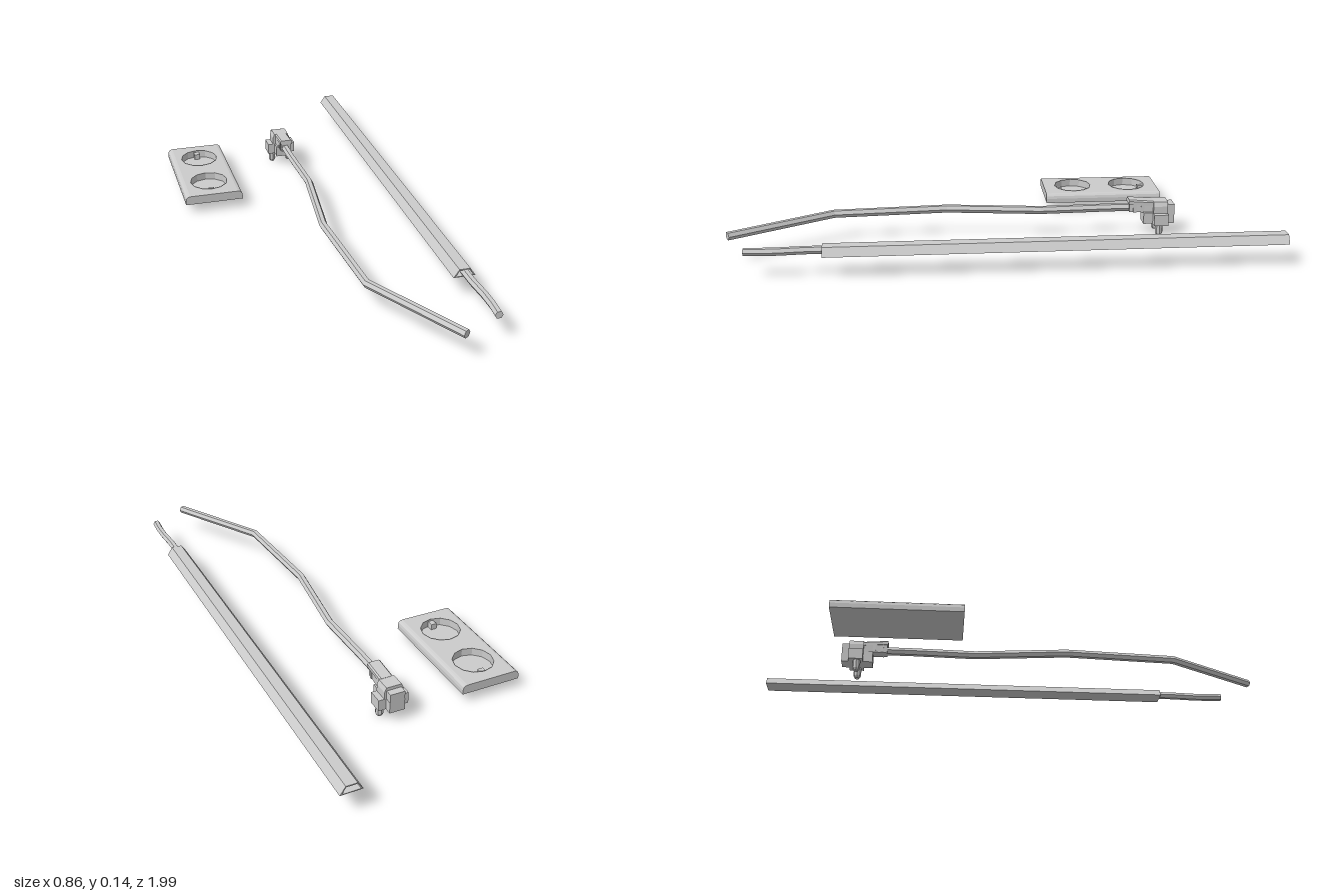
import * as THREE from 'three';

const material = new THREE.MeshStandardMaterial({ color: 0xcccccc, flatShading: true, side: THREE.DoubleSide });

function add(parent, name, geometry, x = 0, y = 0, z = 0) {
  const mesh = new THREE.Mesh(geometry, material);
  mesh.name = name;
  mesh.position.set(x, y, z);
  parent.add(mesh);
  return mesh;
}

// Box given by its limits
function box(parent, name, x0, x1, y0, y1, z0, z1) {
  return add(parent, name, new THREE.BoxGeometry(x1 - x0, y1 - y0, z1 - z0),
    (x0 + x1) / 2, (y0 + y1) / 2, (z0 + z1) / 2);
}

const outline = (points) => new THREE.Shape(points.map(([x, y]) => new THREE.Vector2(x, y)));

const extrude = (shape, depth, curveSegments = 12) =>
  new THREE.ExtrudeGeometry(shape, { depth, bevelEnabled: false, curveSegments });

// Hexagonal cable with mitred bends along points [x, y, z]
function cable(points, r) {
  const path = points.map((p) => new THREE.Vector3(...p));
  const up = new THREE.Vector3(0, 1, 0);
  const pos = [], index = [], n = 6;
  path.forEach((p, i) => {
    const dir = path[Math.min(i + 1, path.length - 1)].clone().sub(path[Math.max(i - 1, 0)]).normalize();
    const side = new THREE.Vector3().crossVectors(up, dir).normalize();
    for (let k = 0; k < n; k++) {
      const a = (k / n) * Math.PI * 2;
      const v = p.clone().addScaledVector(side, r * Math.cos(a)).addScaledVector(up, r * Math.sin(a));
      pos.push(v.x, v.y, v.z);
      if (i > 0) {
        const a0 = (i - 1) * n + k, b0 = (i - 1) * n + (k + 1) % n;
        index.push(a0, b0, b0 + n, a0, b0 + n, a0 + n);
      }
    }
  });
  const last = (path.length - 1) * n;
  for (let k = 1; k < n - 1; k++) {
    index.push(0, k + 1, k, last, last + k, last + k + 1);
  }
  const g = new THREE.BufferGeometry();
  g.setAttribute('position', new THREE.Float32BufferAttribute(pos, 3));
  g.setIndex(index);
  g.computeVertexNormals();
  return g;
}

function createSocket() {
  const group = new THREE.Group();
  group.name = 'doubleSocket';
  const cx = -0.317, half = 0.114, inner = 0.092, z0 = -0.675, z1 = -0.21, r = 0.074;
  const floor = 0.046, top = 0.073;
  box(group, 'socketBase', cx - half, cx + half, 0.038, floor, z0, z1);

  // Rounded long edges
  for (const s of [-1, 1]) {
    const rail = outline([[s * inner, floor], [s * half, floor], [s * half, 0.055],
      [s * 0.111, 0.065], [s * 0.104, 0.071], [s * 0.096, top], [s * inner, top]]);
    add(group, 'socketEdge', extrude(rail, z1 - z0), cx, 0, z0);
  }

  // Face plate with two round wells
  const plate = outline([[-inner, -z1], [inner, -z1], [inner, -z0], [-inner, -z0]]);
  for (const [z, s] of [[-0.555, -1], [-0.33, 1]]) {
    plate.holes.push(new THREE.Path().absarc(0, -z, r, 0, Math.PI * 2, true));
    add(group, 'wellRim', new THREE.CylinderGeometry(r, r, 0.029, 12, 1, true).rotateY(Math.PI / 2),
      cx, 0.0605, z);
    const clipZ = z + s * 0.06;
    box(group, 'groundClip', cx - 0.011, cx + 0.011, floor, 0.068, clipZ - 0.013, clipZ + 0.013);
  }
  add(group, 'socketFace', extrude(plate, top - floor, 6).rotateX(-Math.PI / 2), cx, floor, 0);
  return group;
}

function createPlug() {
  const group = new THREE.Group();
  group.name = 'plug';
  const cx = 0.049;
  // Cross-shaped body
  box(group, 'plugWings', cx - 0.057, cx + 0.057, 0.043, 0.086, -0.64, -0.585);
  box(group, 'plugBody', cx - 0.029, cx + 0.029, 0.043, 0.086, -0.667, -0.549);

  // Stepped upper housing with chamfered shoulders
  const housing = outline([[-0.036, 0.086], [0.036, 0.086], [0.036, 0.113], [0.029, 0.13],
    [-0.029, 0.13], [-0.036, 0.113]]);
  add(group, 'plugHousing', extrude(housing, 0.055), cx, 0, -0.64);
  box(group, 'plugBack', cx - 0.028, cx + 0.028, 0.086, 0.118, -0.667, -0.64);

  // Tapering neck and its ribs
  const neck = new THREE.BoxGeometry(0.05, 0.034, 0.09);
  const p = neck.attributes.position;
  for (let i = 0; i < p.count; i++) {
    if (p.getZ(i) > 0) p.setX(i, p.getX(i) * 0.75);
  }
  add(group, 'plugNeck', neck, cx, 0.105, -0.54);
  for (const z of [-0.545, -0.515]) {
    box(group, 'neckRib', cx - 0.023, cx + 0.023, 0.088, 0.125, z - 0.006, z + 0.006);
  }

  // Raised grip flap over the neck
  const flap = outline([[-0.025, -0.008], [0.025, -0.008], [0.025, 0.004], [0.02, 0.009],
    [-0.02, 0.009], [-0.025, 0.004]]);
  add(group, 'gripFlap', extrude(flap, 0.095), cx, 0.122, -0.586).rotation.x = -0.08;

  // Pins with tapered tips
  for (const s of [-1, 1]) {
    const profile = [[0, 0], [0.009, 0], [0.0145, 0.01], [0.0145, 0.045]].map(([x, y]) => new THREE.Vector2(x, y));
    add(group, 'plugPin', new THREE.LatheGeometry(profile, 8), cx + s * 0.036, 0, -0.608);
  }
  return group;
}

function createTrunking() {
  const group = new THREE.Group();
  group.name = 'cableTrunking';
  const duct = outline([[-0.04, 0.082], [0.04, 0.082], [0.02, 0.112], [-0.02, 0.112]]);
  duct.holes.push(new THREE.Path([[-0.033, 0.085], [-0.018, 0.108], [0.018, 0.108], [0.033, 0.085]]
    .map(([x, y]) => new THREE.Vector2(x, y))));
  add(group, 'duct', extrude(duct, 1.64), 0.386, 0, -1);
  const y = 0.097;
  add(group, 'ductCable', cable([[0.388, y, 0.6], [0.388, y, 0.7], [0.394, y, 0.79],
    [0.394, y, 0.85], [0.39, y, 0.908]], 0.0145));
  return group;
}

export function createModel() {
  const model = new THREE.Group();
  model.name = 'electricalSet';
  const y = 0.102;
  model.add(createSocket(), createPlug(), createTrunking());
  add(model, 'powerCable', cable([[0.046, y, -0.52], [0.047, y, -0.4], [0.056, y, -0.155],
    [0.013, y, 0.2], [0.04, y, 0.625], [0.247, y, 0.985]], 0.0155));
  return model;
}
